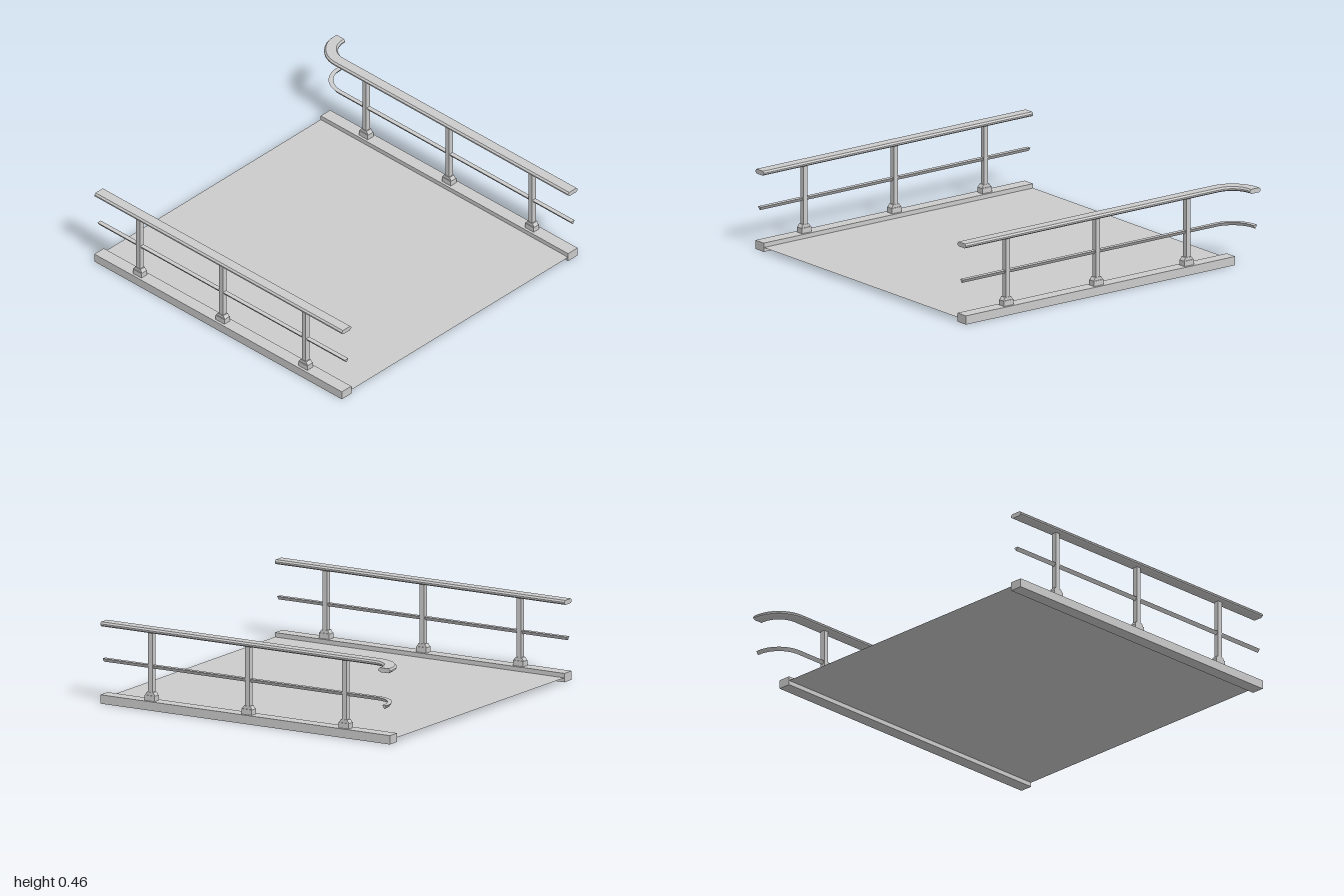
import * as THREE from 'three';
import { toCreasedNormals } from 'three/addons/utils/BufferGeometryUtils.js';

const material = new THREE.MeshStandardMaterial({ color: 0xcccccc });
const LEFT_X = 0.838, RIGHT_X = -0.9625; // centre lines of the two sides
const FRONT = 0.98, BACK = -0.9;

function add(parent, name, geometry, x = 0, y = 0, z = 0, mat = material) {
  const mesh = new THREE.Mesh(geometry, mat);
  mesh.name = name;
  mesh.position.set(x, y, z);
  parent.add(mesh);
  return mesh;
}

// Sweeps a convex counter-clockwise profile [side, y] along a flat path of [x, z]
function sweep(profile, path) {
  const n = profile.length, pos = [], index = [];
  path.forEach(([x, z], i) => {
    const a = path[Math.max(i - 1, 0)], b = path[Math.min(i + 1, path.length - 1)];
    const dir = new THREE.Vector2(b[0] - a[0], b[1] - a[1]).normalize();
    for (const [s, y] of profile) pos.push(x - dir.y * s, y, z + dir.x * s);
  });
  for (let i = 0; i < path.length - 1; i++) {
    for (let j = 0; j < n; j++) {
      const k = (j + 1) % n, p = i * n, q = p + n;
      index.push(p + j, q + j, q + k, p + j, q + k, p + k);
    }
  }
  const last = (path.length - 1) * n;
  for (let j = 1; j < n - 1; j++) {
    index.push(0, j, j + 1, last, last + j + 1, last + j);
  }
  const geometry = new THREE.BufferGeometry();
  geometry.setAttribute('position', new THREE.Float32BufferAttribute(pos, 3));
  geometry.setIndex(index);
  return toCreasedNormals(geometry, 0.35);
}

const handrailProfile = [
  [-0.026, 0.434], [0.026, 0.434], [0.0375, 0.442], [0.0375, 0.45],
  [0.029, 0.46], [-0.029, 0.46], [-0.0375, 0.45], [-0.0375, 0.442],
];
const midRailProfile = [[0, 0.23], [0.0135, 0.25], [-0.0135, 0.25]];

// Straight run, and a run that turns outwards at the back
const straightPath = [[RIGHT_X, FRONT], [RIGHT_X, BACK]];
const curvedPath = [[LEFT_X, FRONT]];
const radius = 0.147, turnZ = -0.795;
for (let i = 0; i <= 16; i++) {
  const t = (i / 16) * Math.PI / 2;
  curvedPath.push([LEFT_X + radius * (1 - Math.cos(t)), turnZ - radius * Math.sin(t)]);
}
curvedPath.push([1, turnZ - radius]);

// Sloping collar above the foot of each post
function collarGeometry() {
  const shape = new THREE.Shape([
    new THREE.Vector2(-0.033, 0), new THREE.Vector2(0.033, 0),
    new THREE.Vector2(0.02, 0.018), new THREE.Vector2(-0.02, 0.018),
  ]);
  const geometry = new THREE.ExtrudeGeometry(shape, { depth: 0.036, bevelEnabled: false });
  return geometry.translate(0, 0, -0.018).rotateY(Math.PI / 2);
}

function railing(name, x, path) {
  const side = new THREE.Group();
  side.name = name;
  add(side, 'curb', new THREE.BoxGeometry(0.075, 0.05, FRONT - BACK), x, 0.025, (FRONT + BACK) / 2);
  add(side, 'handrail', sweep(handrailProfile, path));
  add(side, 'midRail', sweep(midRailProfile, path));
  for (const z of [0.67, 0.04, -0.59]) {
    const post = new THREE.Group();
    post.name = 'post';
    post.position.set(x, 0, z);
    add(post, 'postFoot', new THREE.BoxGeometry(0.045, 0.03, 0.066), 0, 0.065, 0);
    add(post, 'postCollar', collarGeometry(), 0, 0.08, 0);
    add(post, 'postShaft', new THREE.BoxGeometry(0.03, 0.35, 0.028), 0, 0.265, 0);
    side.add(post);
  }
  return side;
}

export function createModel() {
  const model = new THREE.Group();
  model.name = 'railedWalkway';

  // Thin deck between the curbs
  const deckMaterial = material.clone();
  deckMaterial.side = THREE.DoubleSide;
  const deck = new THREE.PlaneGeometry(LEFT_X - RIGHT_X - 0.07, FRONT - BACK).rotateX(-Math.PI / 2);
  add(model, 'deck', deck, (LEFT_X + RIGHT_X) / 2, 0.025, (FRONT + BACK) / 2, deckMaterial);

  model.add(railing('rightRailing', RIGHT_X, straightPath));
  model.add(railing('leftRailing', LEFT_X, curvedPath));
  return model;
}
